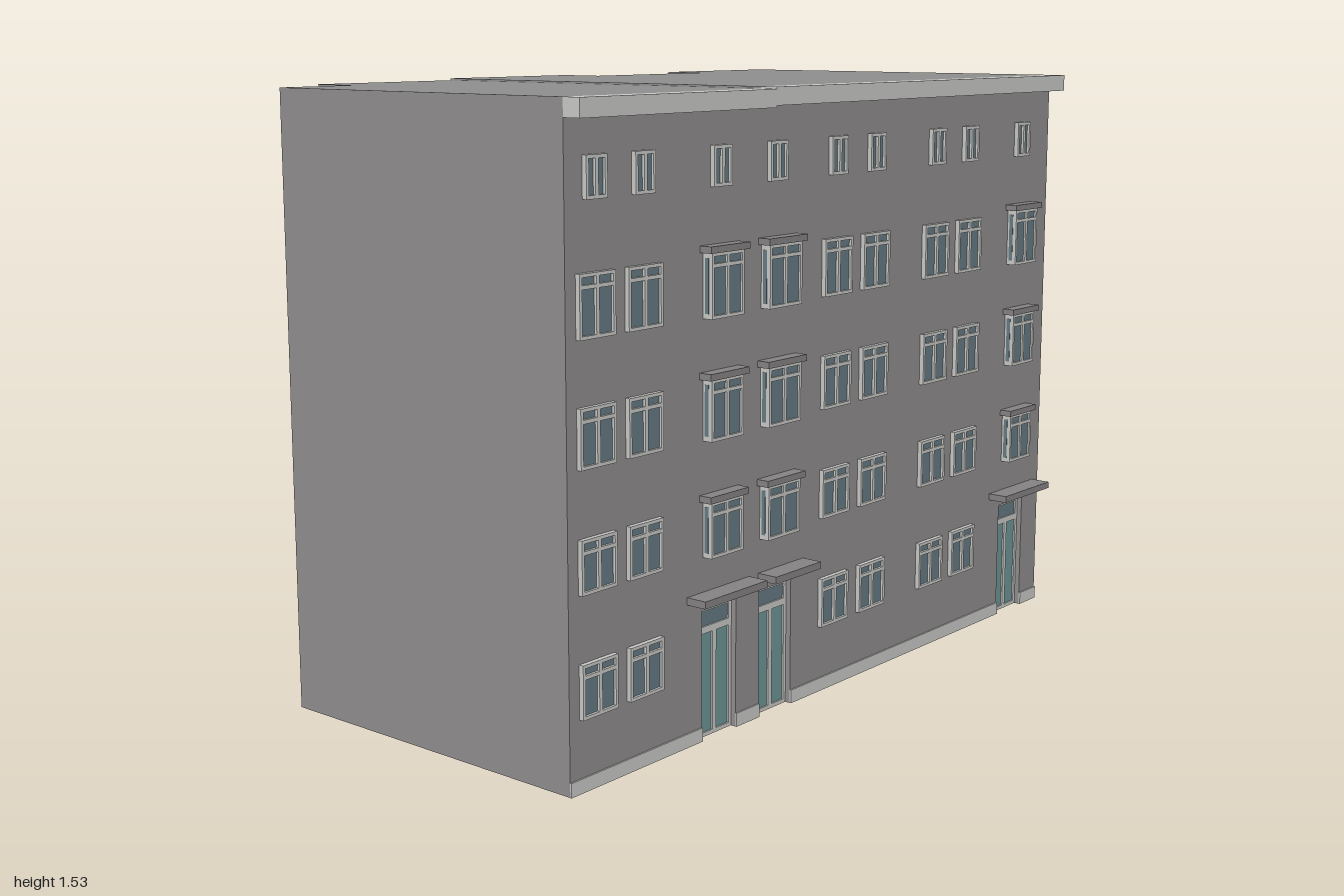
import * as THREE from 'three';

const paint = (name, color) => {
  const m = new THREE.MeshStandardMaterial({ color });
  m.name = name;
  return m;
};

const FRONT = 0.494, CORE = 0.472, BACK = -0.545, NOTCH = -0.42, SEAM = -0.333;

export function createModel() {
  const wall = paint('wallGrey', 0x8f8d8d);
  const trim = paint('paleTrim', 0xc8c8c5);
  const glass = paint('windowGlass', 0x657a82);
  const doorGlass = paint('doorGlass', 0x6c9593);
  const hoodGrey = paint('hoodGrey', 0x848282);
  const model = new THREE.Group();
  model.name = 'apartmentBlock';

  const add = (parent, name, geometry, material, x = 0, y = 0, z = 0) => {
    const mesh = new THREE.Mesh(geometry, material);
    mesh.name = name;
    mesh.position.set(x, y, z);
    parent.add(mesh);
    return mesh;
  };
  // box given by its limits
  const block = (parent, name, material, x0, x1, y0, y1, z0, z1) =>
    add(parent, name, new THREE.BoxGeometry(x1 - x0, y1 - y0, z1 - z0), material,
      (x0 + x1) / 2, (y0 + y1) / 2, (z0 + z1) / 2);
  const outline = pts => pts.map(p => new THREE.Vector2(...p));
  const extrude = (shape, depth) => new THREE.ExtrudeGeometry(shape, { depth, bevelEnabled: false });

  // flat frame standing on y = 0, with one opening per pane [x0, x1, y0, y1, material]
  const framed = (name, w, h, depth, panes) => {
    const g = new THREE.Group();
    g.name = name;
    const shape = new THREE.Shape(outline([[-w / 2, 0], [w / 2, 0], [w / 2, h], [-w / 2, h]]));
    for (const [x0, x1, y0, y1, material] of panes) {
      shape.holes.push(new THREE.Path(outline([[x0, y0], [x0, y1], [x1, y1], [x1, y0]])));
      add(g, 'pane', new THREE.PlaneGeometry(x1 - x0, y1 - y0), material,
        (x0 + x1) / 2, (y0 + y1) / 2, depth * 0.45);
    }
    add(g, 'frame', extrude(shape, depth), trim);
    return g;
  };
  // two tall panes, with two small lights above the transom if asked for
  const casement = (name, w, h, depth, transom) => {
    const b = 0.008, m = 0.005, top = h - b, split = transom ? h - 0.034 : top;
    const panes = [];
    for (const [x0, x1] of [[-w / 2 + b, -m], [m, w / 2 - b]]) {
      panes.push([x0, x1, b, split, glass]);
      if (transom) panes.push([x0, x1, split + 0.009, top, glass]);
    }
    return framed(name, w, h, depth, panes);
  };
  const place = (g, x, y, z, parent = model) => {
    g.position.set(x, y, z);
    parent.add(g);
  };

  // two adjoining houses, stepped at the rear, with door openings in the facade
  const house = (name, height, plan, x0, x1, doors) => {
    const g = new THREE.Group();
    g.name = name;
    const body = extrude(new THREE.Shape(outline(plan.map(([x, z]) => [x, -z]))), height);
    body.rotateX(-Math.PI / 2);
    add(g, 'body', body, wall);
    const face = [[x0, 0]];
    for (const d of doors)
      face.push([d - 0.064, 0], [d - 0.064, 0.32], [d + 0.064, 0.32], [d + 0.064, 0]);
    face.push([x1, 0], [x1, height], [x0, height]);
    add(g, 'facade', extrude(new THREE.Shape(outline(face)), FRONT - CORE), wall, 0, 0, CORE);
    block(g, 'cornice', trim, x0, x1, height - 0.043, height, FRONT, 0.541);
    // plinth runs between the doors
    const edges = [x0, ...doors.flatMap(d => [d - 0.064, d + 0.064]), x1];
    for (let i = 0; i < edges.length; i += 2)
      block(g, 'plinth', trim, edges[i], edges[i + 1], 0, 0.034, FRONT, 0.498);
    model.add(g);
  };
  house('leftHouse', 1.525,
    [[-1, CORE], [SEAM, CORE], [SEAM, BACK], [-0.78, BACK], [-0.78, NOTCH], [-1, NOTCH]],
    -1, SEAM, [-0.482]);
  house('rightHouse', 1.53,
    [[SEAM, CORE], [1, CORE], [1, BACK], [0.56, BACK], [0.56, NOTCH], [0.11, NOTCH],
      [0.11, BACK], [SEAM, BACK]],
    SEAM, 1, [-0.264, 0.85]);

  // plain front windows on four floors
  const flatColumns = [-0.91, -0.753, -0.027, 0.138, 0.418, 0.58];
  for (const [y, h] of [[0.17, 0.126], [0.452, 0.124], [0.73, 0.135], [1.012, 0.142]])
    for (const x of flatColumns)
      place(casement('frontWindow', 0.115, h, 0.012, true), x, y, FRONT);

  // projecting windows with hoods above the doors
  const bayColumns = [[-0.484, 0.118], [-0.264, 0.126], [0.85, 0.114]];
  for (const [y, h] of [[0.448, 0.134], [0.725, 0.145], [1.01, 0.152]])
    for (const [x, w] of bayColumns) {
      const bay = new THREE.Group();
      bay.name = 'bayWindow';
      block(bay, 'bayBox', trim, -w / 2, w / 2, 0, h, 0, 0.018);
      for (const s of [-1, 1])
        block(bay, 'sidePane', glass, s * w / 2 - 0.001, s * w / 2 + 0.001, 0.012, h - 0.012, 0.006, 0.017);
      place(casement('bayFront', w, h, 0.009, true), 0, 0, 0.018, bay);
      block(bay, 'hood', hoodGrey, -w / 2 - 0.012, w / 2 + 0.012, h, h + 0.016, 0, 0.034);
      place(bay, x, y, FRONT);
    }

  // small attic windows
  for (const x of [...flatColumns, -0.484, -0.273, 0.85])
    place(casement('atticWindow', 0.067, 0.094, 0.012, false), x, 1.309, FRONT);

  // recessed double doors with a fanlight
  for (const x of [-0.482, -0.264, 0.85])
    place(framed('door', 0.128, 0.32, 0.008, [
      [-0.054, 0.054, 0.272, 0.31, glass],
      [-0.054, -0.007, 0.01, 0.255, doorGlass],
      [0.007, 0.054, 0.01, 0.255, doorGlass],
    ]), x, 0, CORE);

  // door canopies
  for (const [x0, x1] of [[-0.6, -0.367], [-0.332, -0.15], [0.732, 0.97]])
    block(model, 'canopy', hoodGrey, x0, x1, 0.346, 0.364, FRONT, 0.549);

  // rear windows: a pale surround with a flush pane
  const rear = [[0.915, BACK], [0.647, BACK], [0.447, NOTCH], [0.222, NOTCH], [0.023, BACK],
    [-0.243, BACK], [-0.425, BACK], [-0.697, BACK], [-0.89, NOTCH]];
  for (const [y0, y1] of [[0.085, 0.275], [0.42, 0.588], [0.71, 0.877], [1.0, 1.165], [1.29, 1.473]])
    for (const [x, z] of rear) {
      const g = framed('rearWindow', 0.118, y1 - y0, 0.004,
        [[-0.052, 0.052, 0.007, y1 - y0 - 0.007, glass]]);
      g.rotation.y = Math.PI;
      place(g, x, y0, z);
    }

  return model;
}
